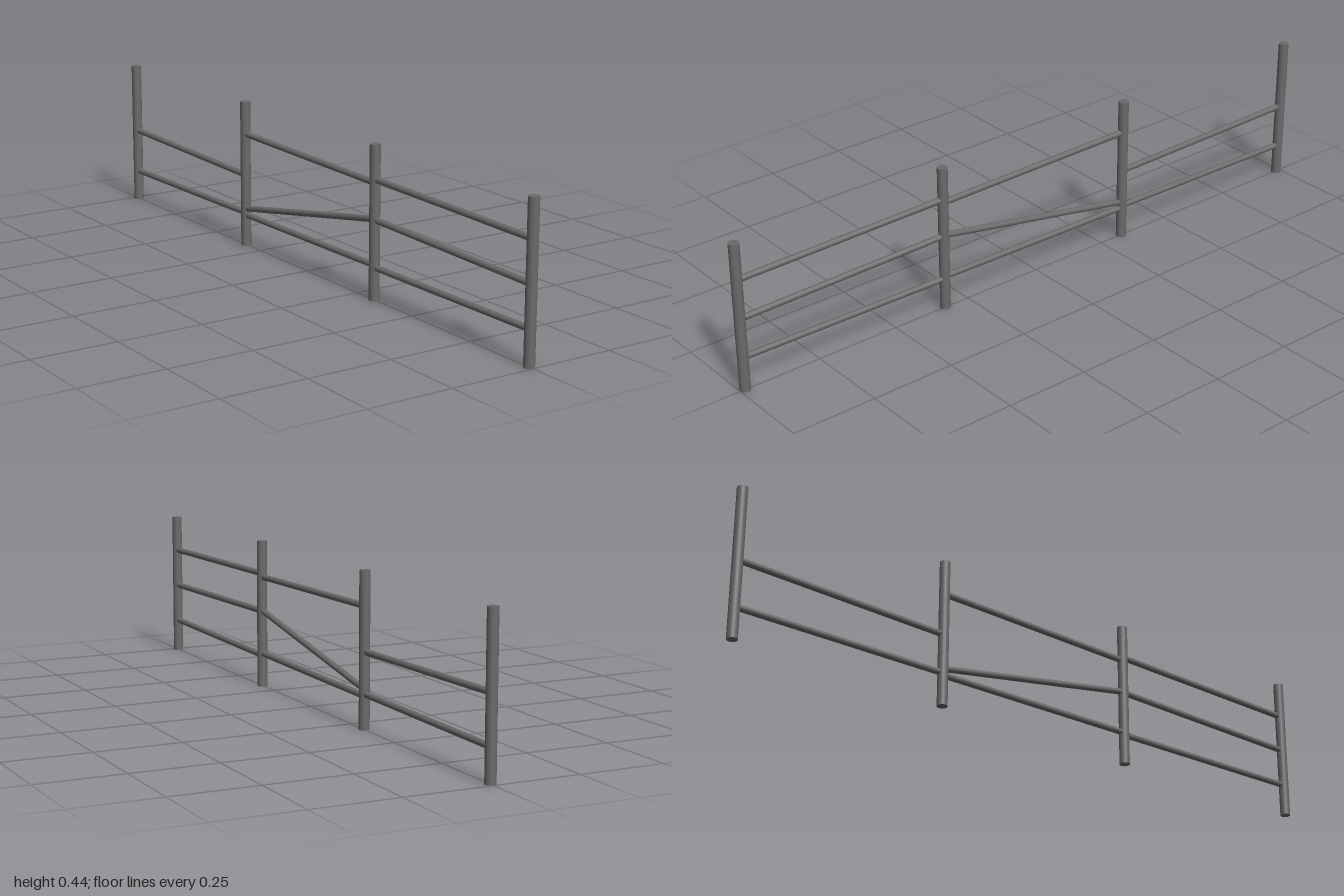
import * as THREE from 'three';

const POST_R = 0.015, POST_H = 0.438, RAIL_R = 0.009;
const POST_Z = [0.985, 0.328, -0.328, -0.985];

// Each bay lists its rails as [name, height at +z end, height at -z end]
const TOP = ['topRail', 0.33, 0.34];
const MIDDLE = ['middleRail', 0.215, 0.227];
const BOTTOM = ['bottomRail', 0.099, 0.093];
const FALLEN = ['fallenRail', 0.229, 0.112];
const BAYS = [[TOP, MIDDLE, BOTTOM], [TOP, FALLEN, BOTTOM], [MIDDLE, BOTTOM]];

export function createModel() {
  const group = new THREE.Group();
  group.name = 'fence';
  const material = new THREE.MeshStandardMaterial({ color: 0x6a6a6a });

  // Upright round posts
  const postGeometry = new THREE.CylinderGeometry(POST_R, POST_R, POST_H, 24);
  POST_Z.forEach((z, i) => {
    const post = new THREE.Mesh(postGeometry, material);
    post.name = `post${i + 1}`;
    post.position.set(0, POST_H / 2, z);
    group.add(post);
  });

  // Round rails running from post centre to post centre
  const up = new THREE.Vector3(0, 1, 0);
  BAYS.forEach((rails, i) => {
    for (const [name, y0, y1] of rails) {
      const a = new THREE.Vector3(0, y0, POST_Z[i]);
      const b = new THREE.Vector3(0, y1, POST_Z[i + 1]);
      const axis = b.clone().sub(a);
      const rail = new THREE.Mesh(new THREE.CylinderGeometry(RAIL_R, RAIL_R, axis.length(), 20), material);
      rail.name = `${name}${i + 1}`;
      rail.position.copy(a).add(b).multiplyScalar(0.5);
      rail.quaternion.setFromUnitVectors(up, axis.normalize());
      group.add(rail);
    }
  });

  return group;
}
